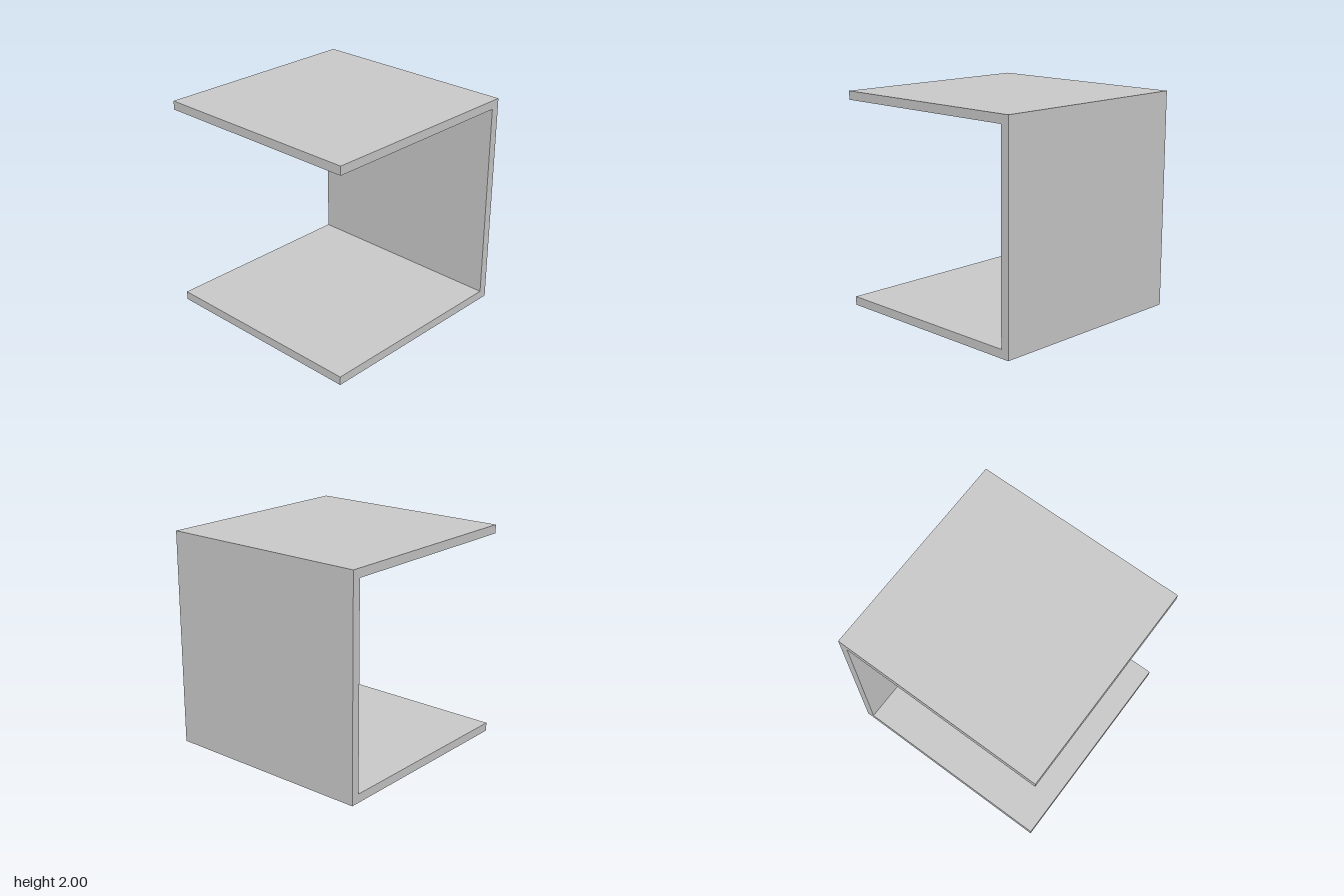
import * as THREE from 'three';

const SIZE = 2; // overall cube
const T = 0.08; // slab thickness

export function createModel() {
  const group = new THREE.Group();
  const material = new THREE.MeshStandardMaterial({ color: 0xcccccc, flatShading: true });

  const addSlab = (name, w, h, d, y, z) => {
    const mesh = new THREE.Mesh(new THREE.BoxGeometry(w, h, d), material);
    mesh.name = name;
    mesh.position.set(0, y, z);
    group.add(mesh);
  };

  // Floor and roof plates
  addSlab('floor', SIZE, T, SIZE, T / 2, 0);
  addSlab('roof', SIZE, T, SIZE, SIZE - T / 2, 0);

  // Back wall standing between the plates
  addSlab('backWall', SIZE, SIZE - 2 * T, T, SIZE / 2, -SIZE / 2 + T / 2);

  return group;
}
